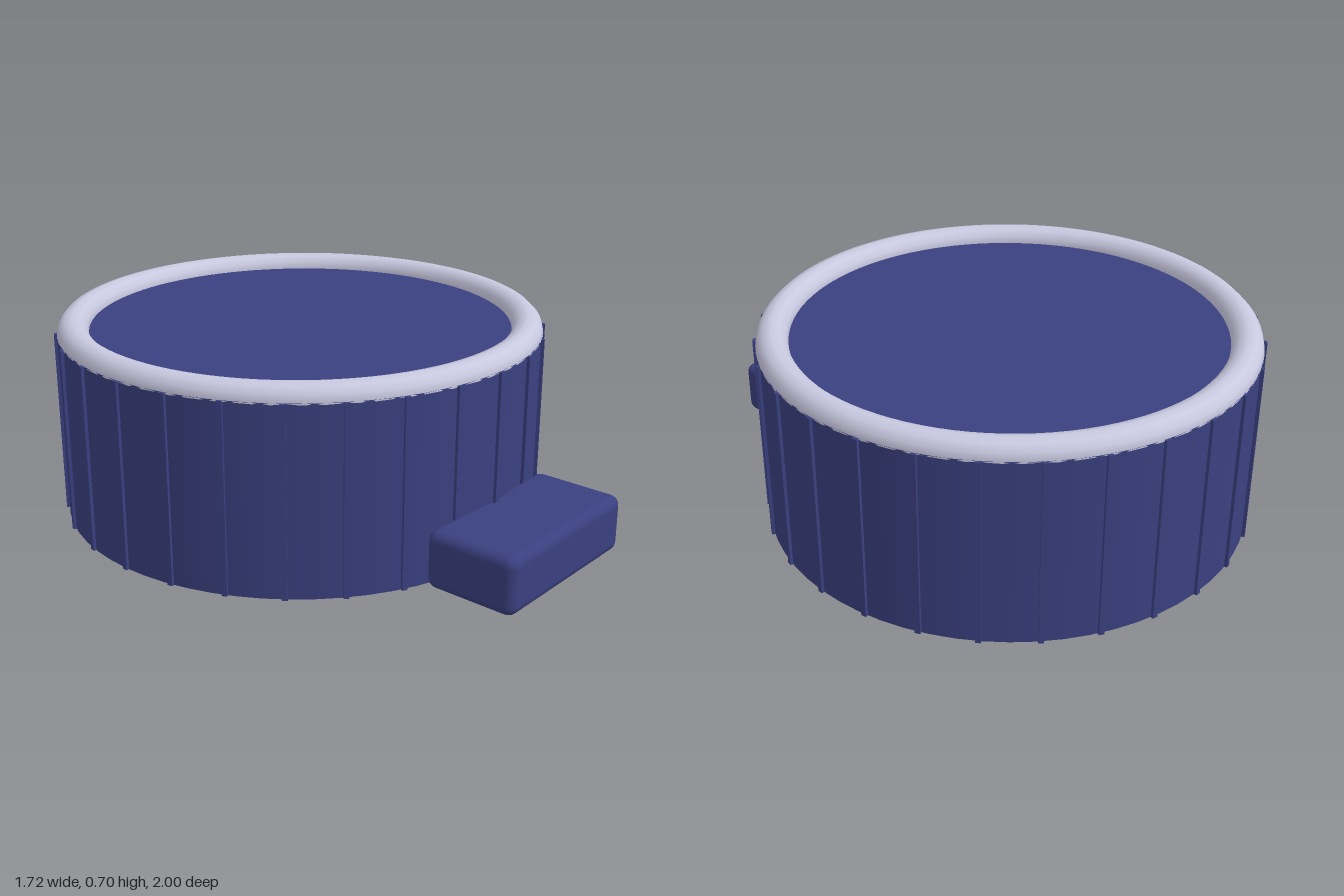
import * as THREE from 'three';
import { RoundedBoxGeometry } from 'three/addons/geometries/RoundedBoxGeometry.js';

const RADIUS = 0.85, HEIGHT = 0.65, CENTRE_Z = -0.14, RIBS = 28;

export function createModel() {
  const navy = new THREE.MeshStandardMaterial({ color: 0x3a4080 });
  navy.name = 'navy';
  const paleLilac = new THREE.MeshStandardMaterial({ color: 0xc8c8e0 });
  paleLilac.name = 'pale lilac';

  const model = new THREE.Group();
  model.name = 'screwCap';

  function add(parent, name, geometry, material, x, y, z) {
    const mesh = new THREE.Mesh(geometry, material);
    mesh.name = name;
    mesh.position.set(x, y, z);
    parent.add(mesh);
    return mesh;
  }

  // Round cap body
  add(model, 'body', new THREE.CylinderGeometry(RADIUS, RADIUS, HEIGHT, 64), navy, 0, HEIGHT / 2, CENTRE_Z);

  // Raised ring around the top edge
  const rim = add(model, 'rim', new THREE.TorusGeometry(0.795, 0.055, 12, 100), paleLilac, 0, 0.647, CENTRE_Z);
  rim.rotation.x = Math.PI / 2;

  // Grip ribs, evenly spaced around the side
  const ribs = new THREE.Group();
  ribs.name = 'gripRibs';
  ribs.position.z = CENTRE_Z;
  model.add(ribs);
  const ribGeometry = new THREE.BoxGeometry(0.018, HEIGHT, 0.02);
  for (let i = 0; i < RIBS; i++) {
    const a = (i / RIBS) * Math.PI * 2;
    const rib = add(ribs, 'gripRib', ribGeometry, navy, Math.sin(a) * RADIUS, HEIGHT / 2, Math.cos(a) * RADIUS);
    rib.rotation.y = a;
  }

  // Opening tab at the front
  add(model, 'tab', new RoundedBoxGeometry(0.645, 0.2, 0.33, 4, 0.035), navy, 0, 0.102, 0.835);

  return model;
}
